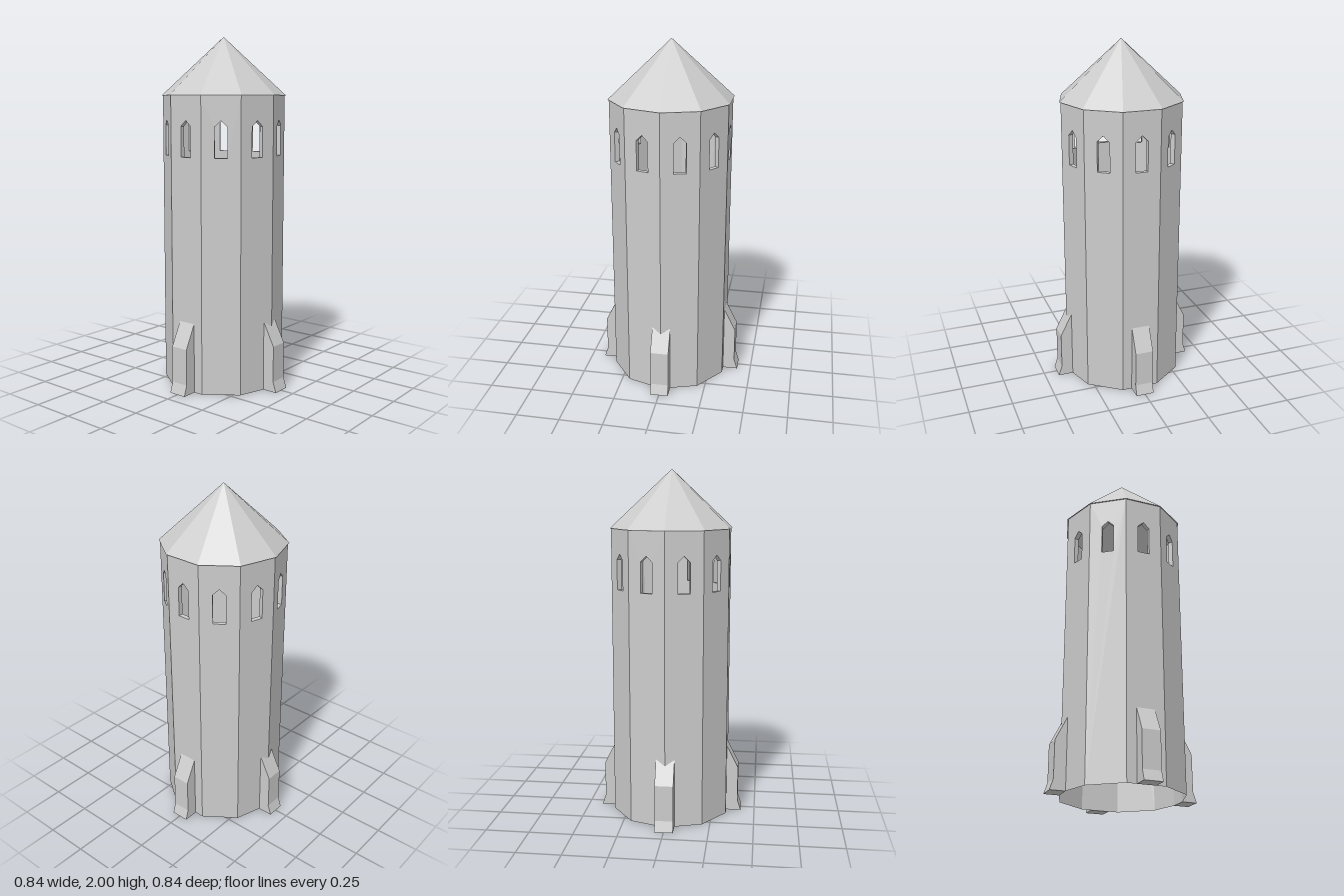
import * as THREE from 'three';
import { mergeGeometries } from 'three/addons/utils/BufferGeometryUtils.js';

const SIDES = 10;
const RADIUS = 0.35;
const APOTHEM = RADIUS * Math.cos(Math.PI / SIDES);
const HALF_SIDE = RADIUS * Math.sin(Math.PI / SIDES);
const EAVES = 1.672;
const REVEAL = 0.027;

// Pointed window outline in the plane of one wall
const WINDOW = [[-0.035, 1.334], [0.035, 1.334], [0.035, 1.503], [0, 1.536], [-0.035, 1.503]]
  .map(([x, y]) => new THREE.Vector2(x, y));

// Flat wall panel with a window hole
function panelGeometry() {
  const shape = new THREE.Shape([
    new THREE.Vector2(-HALF_SIDE, 0), new THREE.Vector2(HALF_SIDE, 0),
    new THREE.Vector2(HALF_SIDE, EAVES), new THREE.Vector2(-HALF_SIDE, EAVES),
  ]);
  shape.holes.push(new THREE.Path(WINDOW));
  return new THREE.ShapeGeometry(shape).toNonIndexed();
}

// Strip running inward around the window opening, facing the hole
function revealGeometry() {
  const positions = [];
  WINDOW.forEach((a, i) => {
    const b = WINDOW[(i + 1) % WINDOW.length];
    positions.push(
      a.x, a.y, 0, b.x, b.y, 0, b.x, b.y, -REVEAL,
      a.x, a.y, 0, b.x, b.y, -REVEAL, a.x, a.y, -REVEAL,
    );
  });
  const geometry = new THREE.BufferGeometry();
  geometry.setAttribute('position', new THREE.Float32BufferAttribute(positions, 3));
  geometry.computeVertexNormals();
  return geometry;
}

// Copies a panel-plane geometry onto every side of the tower
function aroundTower(base) {
  base.deleteAttribute('uv');
  const copies = [];
  for (let i = 0; i < SIDES; i++) {
    copies.push(base.clone().translate(0, 0, APOTHEM)
      .rotateY((i + 0.5) * 2 * Math.PI / SIDES));
  }
  return mergeGeometries(copies);
}

// Buttress: radial profile extruded across its width, pointing to +x
function buttressGeometry() {
  const width = 0.105;
  const profile = new THREE.Shape([
    [APOTHEM, 0], [0.42, 0], [0.4, 0.06], [0.4, 0.267], [APOTHEM, 0.4],
  ].map(([x, y]) => new THREE.Vector2(x, y)));
  return new THREE.ExtrudeGeometry(profile, { depth: width, bevelEnabled: false })
    .translate(0, 0, -width / 2);
}

export function createModel() {
  const model = new THREE.Group();
  model.name = 'tower';
  const stone = new THREE.MeshStandardMaterial({
    color: 0xcccccc, flatShading: true, side: THREE.DoubleSide,
  });
  const add = (name, geometry) => {
    const mesh = new THREE.Mesh(geometry, stone);
    mesh.name = name;
    model.add(mesh);
    return mesh;
  };

  // Ten-sided hollow shaft, open at the bottom
  add('walls', aroundTower(panelGeometry()));
  add('windowReveals', aroundTower(revealGeometry()));

  // Pointed roof with a narrow overhang
  const roofRadius = 0.357;
  const roofHeight = 2 - EAVES;
  add('roof', new THREE.ConeGeometry(roofRadius, roofHeight, SIDES, 1, true))
    .position.y = EAVES + roofHeight / 2;
  add('eavesSoffit', new THREE.RingGeometry(RADIUS, roofRadius, SIDES, 1, Math.PI / 2)
    .rotateX(Math.PI / 2)).position.y = EAVES;

  // Four buttresses at the foot
  const buttress = buttressGeometry();
  ['left', 'back', 'right', 'front'].forEach((side, i) => {
    add(side + 'Buttress', buttress).rotation.y = i * Math.PI / 2;
  });

  return model;
}
